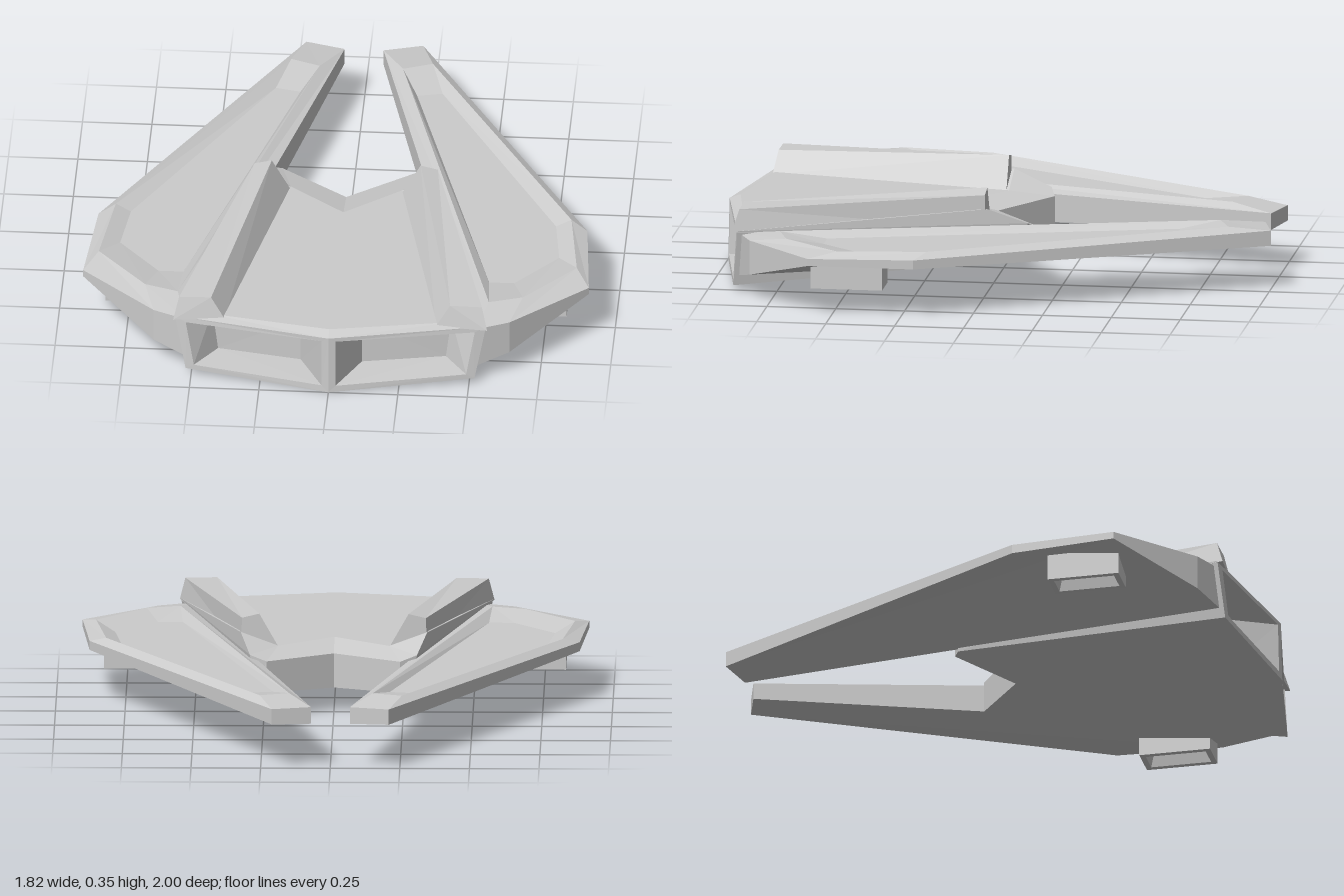
import * as THREE from 'three';

const material = new THREE.MeshStandardMaterial({ color: 0xcccccc, flatShading: true });

// Flat-faced mesh from convex polygons; side -1 mirrors it across x.
function polyMesh(name, polygons, side) {
  const pos = [];
  for (const poly of polygons) {
    for (let i = 1; i < poly.length - 1; i++) {
      const tri = [poly[0], poly[i], poly[i + 1]];
      if (side < 0) tri.reverse();
      for (const [x, y, z] of tri) pos.push(x * side, y, z);
    }
  }
  const geo = new THREE.BufferGeometry();
  geo.setAttribute('position', new THREE.Float32BufferAttribute(pos, 3));
  geo.computeVertexNormals();
  const mesh = new THREE.Mesh(geo, material);
  mesh.name = name;
  return mesh;
}

// Quads joining two loops of equal length.
const band = (a, b) => a.map((p, i) => {
  const j = (i + 1) % a.length;
  return [p, a[j], b[j], b[i]];
});

// Closed skin through a series of loops, with both ends capped.
function loft(rings) {
  const faces = [[...rings[0]].reverse(), rings[rings.length - 1]];
  for (let i = 0; i < rings.length - 1; i++) faces.push(...band(rings[i], rings[i + 1]));
  return faces;
}

// Half of the wedge hull, with a deep bay in the nose and a notched tail
function hullFaces() {
  const t0 = [0, 0.225, 0.995], t1 = [0.56, 0.23, 0.885];
  const u0 = [0, 0.24, 0.955], u1 = [0.44, 0.238, 0.875];
  const b0 = [0, 0, 1], b1 = [0.52, 0.022, 0.905];
  const r0 = [0, 0.24, 0.17], r1 = [0.2, 0.24, 0.01], r2 = [0.335, 0.29, 0.01];
  const s0 = [0, 0.21, 0.02], s1 = [0.24, 0.215, -0.15], s2 = [0.3, 0.235, -0.13];
  const q0 = [0, 0.085, 0.02], q1 = [0.24, 0.1, -0.15], q2 = [0.28, 0.1, -0.13];
  const rim = [t0, b0, b1, t1];
  const mouth = [[0.025, 0.21, 0.99], [0.025, 0.025, 0.994], [0.49, 0.04, 0.91], [0.52, 0.21, 0.895]];
  const back = [[0.11, 0.205, 0.84], [0.11, 0.035, 0.84], [0.41, 0.045, 0.8], [0.43, 0.205, 0.8]];
  return [
    ...band(rim, mouth), ...band(mouth, back), back,
    [t0, t1, u1, u0], [u0, u1, r1, r0], [u1, t1, r2, r1],   // deck
    [r0, r1, s1, s0], [r1, r2, s2, s1],                     // tail bevel
    [s0, s1, q1, q0], [s1, s2, q2, q1],                     // tail wall
    [t1, b1, q2, s2, r2],                                   // flank
    [b0, q0, q1, b1], [b1, q1, q2],                         // belly
  ];
}

// Swept wing: underside, rim, raised lip and shallow sunken panel
function wingFaces() {
  const bottom = [[0.07, 0.155, -0.96], [0.52, 0.06, 0.885], [0.64, 0.09, 0.83],
    [0.91, 0.19, 0.58], [0.88, 0.183, 0.2], [0.21, 0.16, -1]];
  const edge = bottom.map(([x, , z]) => [x, 0.216, z]);
  const lip = [[0.15, -0.81], [0.56, 0.73], [0.68, 0.69], [0.86, 0.48], [0.82, 0.16], [0.255, -0.85]]
    .map(([x, z]) => [x, 0.236, z]);
  const panel = [[0.21, -0.67], [0.55, 0.56], [0.64, 0.56], [0.79, 0.38], [0.765, 0.17], [0.3, -0.69]]
    .map(([x, z]) => [x, 0.212, z]);
  return loft([bottom, edge, lip, panel]);
}

// Tapered rail along the deck edge
function railFaces() {
  const rear = [[0.335, 0.22, 0.02], [0.33, 0.34, 0.02], [0.268, 0.355, 0.02], [0.2, 0.235, 0.02]];
  const front = [[0.565, 0.225, 0.905], [0.545, 0.308, 0.88], [0.43, 0.31, 0.88], [0.38, 0.23, 0.895]];
  return loft([rear, front]);
}

// Hollow landing pad under the wing
function padFaces() {
  const ring = (inset, y) => [[-1, -1], [1, -1], [1, 1], [-1, 1]]
    .map(([sx, sz]) => [0.765 + sx * (0.065 - inset), y, 0.45 + sz * (0.13 - inset)]);
  return loft([ring(0, 0.195), ring(0, 0.09), ring(0.02, 0.09), ring(0.032, 0.135)]);
}

export function createModel() {
  const model = new THREE.Group();
  model.name = 'spacecraft';
  const parts = { Hull: hullFaces(), Wing: wingFaces(), Rail: railFaces(), LandingPad: padFaces() };
  for (const [side, prefix] of [[1, 'left'], [-1, 'right']]) {
    for (const [name, faces] of Object.entries(parts)) model.add(polyMesh(prefix + name, faces, side));
  }
  return model;
}
